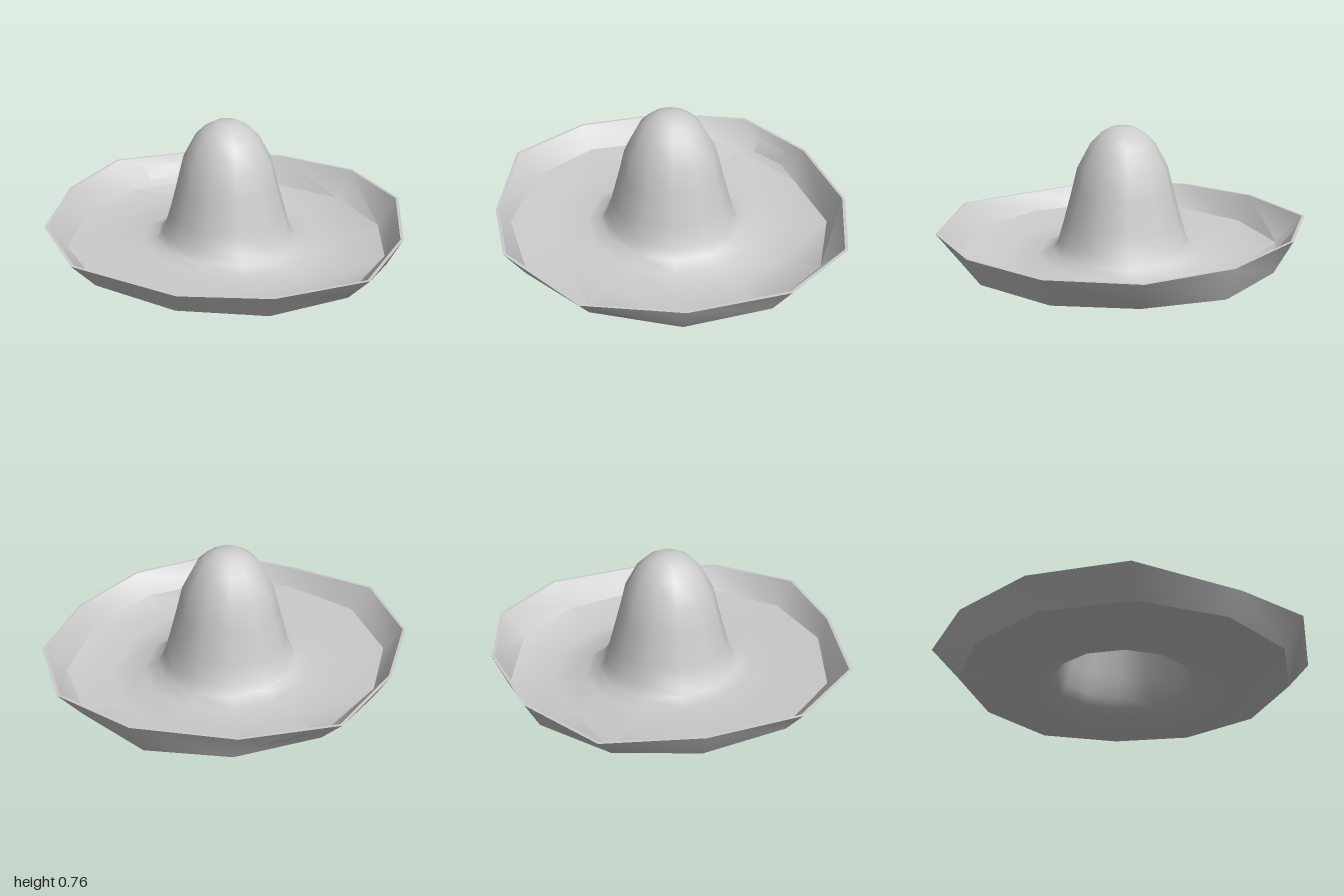
import * as THREE from 'three';
import { toCreasedNormals } from 'three/addons/utils/BufferGeometryUtils.js';

const SIDES = 12;

// Uneven rim and brim fold: [x, y, z], from the front round by the left
const RIM = [
  [0, 0.255, 0.99], [0.52, 0.23, 0.77], [0.86, 0.25, 0.48], [0.985, 0.208, -0.03],
  [0.8, 0.205, -0.5], [0.45, 0.215, -0.88], [0, 0.218, -1], [-0.44, 0.225, -0.83],
  [-0.81, 0.24, -0.46], [-0.99, 0.25, 0], [-0.8, 0.26, 0.46], [-0.47, 0.25, 0.84],
];
const FOLD = [
  [0.02, 0.12, 0.87], [0.46, 0.115, 0.73], [0.77, 0.1, 0.42], [0.87, 0.08, -0.01],
  [0.74, 0.06, -0.45], [0.41, 0.055, -0.77], [0, 0.06, -0.87], [-0.42, 0.05, -0.75],
  [-0.72, 0.07, -0.43], [-0.84, 0.09, 0], [-0.72, 0.105, 0.42], [-0.41, 0.115, 0.75],
];

// A round ring that may lean along z and x
function ring(r, y, leanZ = 0, leanX = 0) {
  return Array.from({ length: SIDES }, (_, i) => {
    const a = (i / SIDES) * Math.PI * 2;
    return [r * Math.sin(a), y + leanZ * Math.cos(a) + leanX * Math.sin(a), r * Math.cos(a)];
  });
}

// Moves a ring inwards by a scale and up by a distance
const shift = (pts, s, dy) => pts.map(([x, y, z]) => [x * s, y + dy, z * s]);

// Skins the rings in order, with a point closing each end
function loft(rings, first, last) {
  const pos = [];
  const tri = (a, b, c) => pos.push(...a, ...b, ...c);
  for (let i = 0; i < SIDES; i++) {
    const j = (i + 1) % SIDES;
    tri(first, rings[0][i], rings[0][j]);
    for (let k = 0; k < rings.length - 1; k++) {
      const a = rings[k], b = rings[k + 1];
      tri(a[i], b[i], b[j]);
      tri(a[i], b[j], a[j]);
    }
    const end = rings[rings.length - 1];
    tri(end[i], last, end[j]);
  }
  const geo = new THREE.BufferGeometry();
  geo.setAttribute('position', new THREE.Float32BufferAttribute(pos, 3));
  return toCreasedNormals(geo, 0.72);
}

export function createModel() {
  const group = new THREE.Group();
  group.name = 'wideBrimmedHat';

  // Crown [radius, height] from the tip down
  const crown = [[0.06, 0.753], [0.12, 0.72], [0.17, 0.67], [0.24, 0.54], [0.272, 0.41], [0.315, 0.25]];
  // Flare and sagging brim floor [radius, height, lean along z, lean along x]
  const brim = [[0.345, 0.15, 0.005, 0], [0.38, 0.105, 0.015, 0], [0.45, 0.078, 0.03, -0.005], [0.63, 0.067, 0.05, -0.013]];
  const t = 0.015;

  const top = [
    ...crown.map((p) => ring(...p)),
    ...brim.map((p) => ring(...p)),
    shift(FOLD, 0.995, t),
    shift(RIM, 0.983, 0),
  ];
  // The underside returns from the rim to the hollow crown
  const under = [
    RIM,
    FOLD,
    ...brim.map(([r, y, lz, lx]) => ring(r - (r < 0.4 ? 0.012 : 0), y - t, lz, lx)).reverse(),
    ...crown.map(([r, y]) => ring(r - 0.012, y - t)).reverse(),
  ];

  const mat = new THREE.MeshStandardMaterial({ color: 0xcccccc, side: THREE.DoubleSide });
  const hat = new THREE.Mesh(loft([...top, ...under], [0, 0.757, 0], [0, 0.742, 0]), mat);
  hat.name = 'crownAndBrim';
  group.add(hat);
  return group;
}
